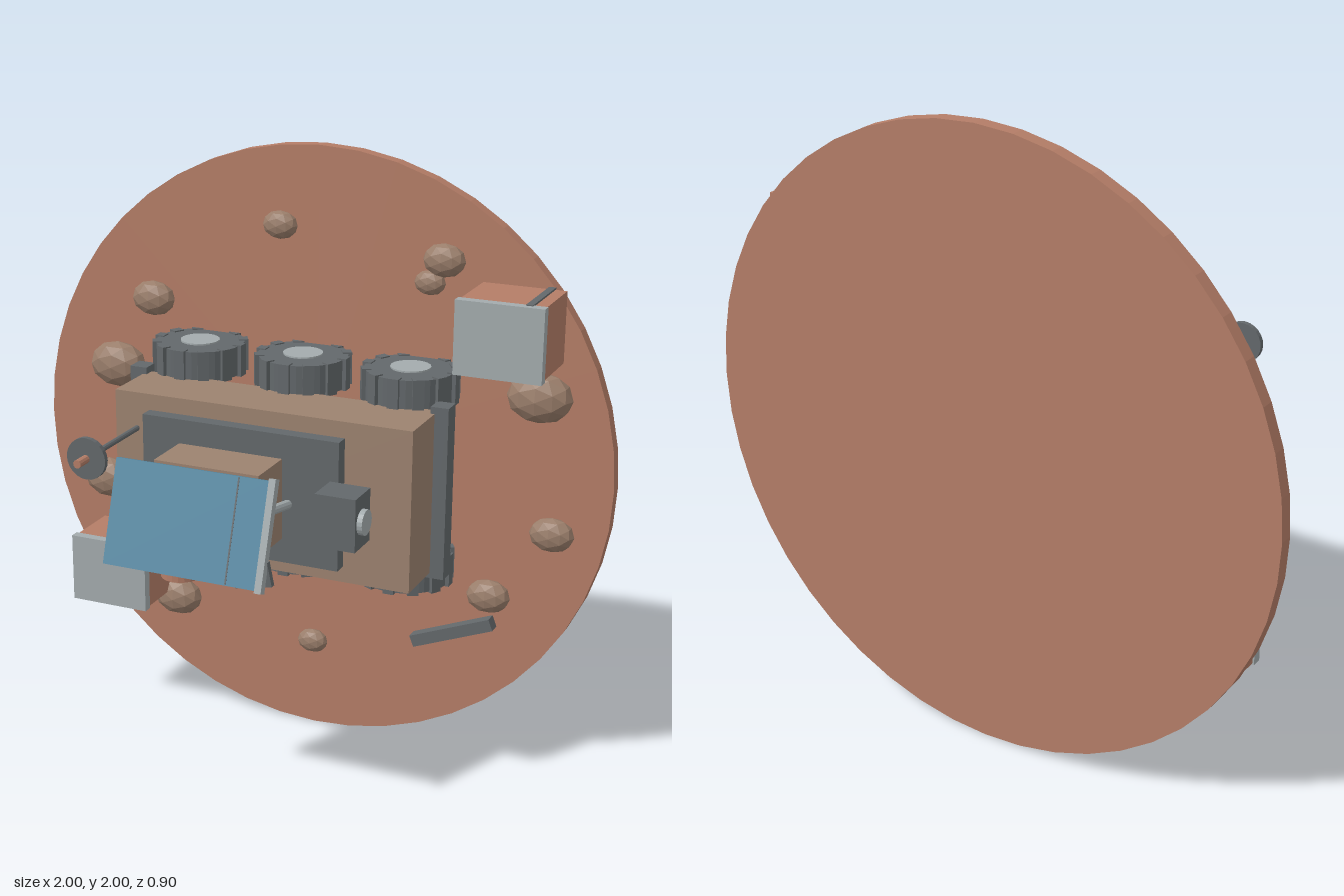
import * as THREE from 'three';

export function createModel() {
  const root = new THREE.Group();
  const paint = (name, color) => {
    const m = new THREE.MeshStandardMaterial({ color, flatShading: true });
    m.name = name;
    return m;
  };
  const soil = paint('terracotta', 0xb47d67);
  const tan = paint('tan', 0x9c826f);
  const stone = paint('stone', 0x997d6a);
  const dark = paint('dark grey', 0x63686b);
  const light = paint('light grey', 0xa3abad);
  const blue = paint('panel blue', 0x5588a2);

  const add = (name, geometry, material, x, y, z, parent = root) => {
    const mesh = new THREE.Mesh(geometry, material);
    mesh.name = name;
    mesh.position.set(x, y, z);
    parent.add(mesh);
    return mesh;
  };
  // Box from its two extreme corners
  const span = (name, material, [x0, x1], [y0, y1], [z0, z1]) =>
    add(name, new THREE.BoxGeometry(x1 - x0, y1 - y0, z1 - z0), material,
      (x0 + x1) / 2, (y0 + y1) / 2, (z0 + z1) / 2);
  // Cylinder along a chosen axis
  const rod = (name, material, r, length, axis, x, y, z, sides = 24, parent = root) => {
    const g = new THREE.CylinderGeometry(r, r, length, sides);
    if (axis === 'x') g.rotateZ(Math.PI / 2);
    if (axis === 'z') g.rotateX(Math.PI / 2);
    return add(name, g, material, x, y, z, parent);
  };

  // Ground disc, standing on edge
  rod('groundDisc', soil, 1, 0.046, 'z', 0, 1, -0.432, 48);

  // Scattered rocks: x, y, radius
  const rocks = [
    [-0.125, 1.74, 0.06], [0.43, 1.68, 0.07], [0.385, 1.605, 0.052], [0.755, 1.28, 0.107],
    [0.815, 0.835, 0.074], [0.615, 0.59, 0.074], [0, 0.315, 0.054], [-0.51, 0.39, 0.088],
    [-0.77, 0.79, 0.093], [-0.725, 1.205, 0.103], [-0.585, 1.45, 0.077],
  ];
  for (const [x, y, r] of rocks) {
    const g = new THREE.IcosahedronGeometry(r, 1);
    g.scale(1, 0.77, 0.58);
    add('rock', g, stone, x, y, -0.388);
  }

  // Chassis
  span('underframe', dark, [-0.45, 0.45], [0.785, 1.225], [-0.25, -0.18]);
  span('body', tan, [-0.5, 0.5], [0.745, 1.265], [-0.18, 0.04]);
  for (const s of [-1, 1]) {
    const bar = span('bumper', dark, [-0.029, 0.029], [0.727, 1.287], [-0.205, -0.143]);
    bar.position.x = s * 0.516;
  }
  span('deck', dark, [-0.38, 0.283], [0.797, 1.213], [0.04, 0.086]);
  span('equipmentBox', tan, [-0.253, 0.097], [0.875, 1.135], [0.086, 0.255]);

  // Wheels with lugs and hubs
  const lugGeometry = new THREE.BoxGeometry(0.036, 0.104, 0.03);
  for (const side of [-1, 1]) {
    for (const x of [-0.365, 0, 0.365]) {
      const wheel = new THREE.Group();
      wheel.name = 'wheel';
      wheel.position.set(x, 1.005 + side * 0.303, -0.29);
      rod('tyre', dark, 0.145, 0.096, 'y', 0, 0, 0, 24, wheel);
      rod('hub', light, 0.064, 0.106, 'y', 0, 0, 0, 20, wheel);
      for (let i = 0; i < 12; i++) {
        const a = (i / 12) * Math.PI * 2;
        const lug = add('lug', lugGeometry, dark, Math.sin(a) * 0.14, 0, Math.cos(a) * 0.14, wheel);
        lug.rotation.y = a;
      }
      root.add(wheel);
    }
  }

  // Camera with lens
  span('cameraBox', dark, [0.257, 0.388], [0.92, 1.088], [0.09, 0.207]);
  rod('lens', light, 0.04, 0.03, 'x', 0.39, 1.003, 0.157, 20);

  // Side canister
  rod('canister', soil, 0.065, 0.15, 'y', -0.297, 0.727, 0.003, 20);

  // Antenna mast, dish and feed
  rod('antennaMast', dark, 0.009, 0.32, 'z', -0.417, 1.153, 0.215, 10);
  rod('antennaDish', dark, 0.066, 0.016, 'z', -0.417, 1.153, 0.372, 24);
  rod('antennaFeed', soil, 0.013, 0.055, 'z', -0.417, 1.153, 0.407, 10);

  // Tilted panel on an arm
  const panel = new THREE.Group();
  panel.name = 'solarPanel';
  panel.position.set(0, 1.003, 0.383);
  panel.rotation.x = -0.32;
  add('panelSheet', new THREE.BoxGeometry(0.505, 0.324, 0.024), blue, -0.08, 0, 0, panel);
  add('panelEdge', new THREE.BoxGeometry(0.022, 0.338, 0.028), light, 0.182, 0, 0, panel);
  add('panelSeam', new THREE.BoxGeometry(0.005, 0.318, 0.004), dark, 0.076, 0, 0.011, panel);
  root.add(panel);
  const arm = rod('panelArm', light, 0.015, 0.27, 'z', 0.122, 1.02, 0.233, 10);
  arm.rotation.x = -0.18;
  const latch = add('panelLatch', new THREE.BoxGeometry(0.12, 0.075, 0.018), dark, 0.142, 0.88, 0.395);
  latch.rotation.z = 0.2;

  // Two supply crates with lid, strap and foot
  const crate = (x, y, lidZ, strapX) => {
    span('crate', soil, [x - 0.133, x + 0.133], [y - 0.113, y + 0.113], [-0.39, lidZ - 0.032]);
    span('crateLid', light, [x - 0.139, x + 0.139], [y - 0.116, y + 0.116], [lidZ - 0.032, lidZ]);
    span('crateStrap', dark, [strapX - 0.011, strapX + 0.011], [y, y + 0.119], [-0.395, lidZ - 0.02]);
    span('crateLatch', dark, [x - 0.025, x + 0.025], [y - 0.13, y - 0.11], [lidZ - 0.16, lidZ - 0.11]);
  };
  crate(0.69, 1.512, -0.145, 0.775);
  crate(-0.665, 0.527, -0.172, -0.578);

  // Loose beam on the ground
  const beam = add('looseBeam', new THREE.BoxGeometry(0.29, 0.04, 0.042), dark, 0.505, 0.452, -0.37);
  beam.rotation.z = 0.38;

  return root;
}
